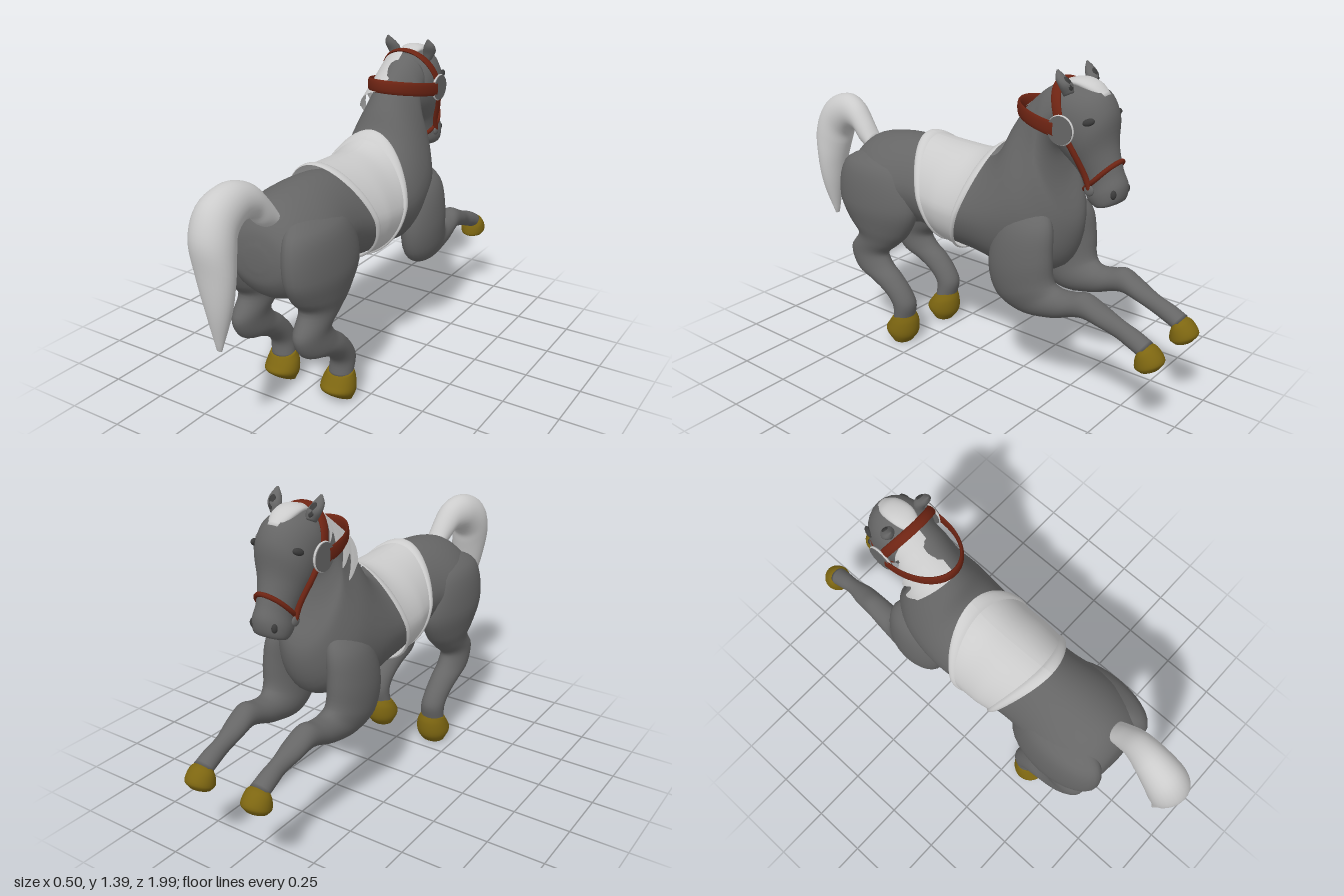
import * as THREE from 'three';

const mat = (color, side = THREE.FrontSide) => new THREE.MeshStandardMaterial({ color, side });
const coat = mat(0x666666), dark = mat(0x3c3c3c), gold = mat(0x7d6611);
const pale = mat(0xcccccc), cloth = mat(0xcccccc, THREE.DoubleSide);
const leather = mat(0x6e2413, THREE.DoubleSide);
const { lerp } = THREE.MathUtils;

function add(parent, name, geometry, material) {
  const mesh = new THREE.Mesh(geometry, material);
  mesh.name = name;
  parent.add(mesh);
  return mesh;
}

// Smooth closed skin over oval sections; egg narrows the upper half.
// Each section: [z, y of one edge, z, y of the opposite edge, half width, centre x]
function loft(sections, side = 1, around = 28, egg = 0) {
  const curve = (f) => new THREE.CatmullRomCurve3(sections.map(f));
  const edgeA = curve((s) => new THREE.Vector3(0, s[1], s[0]));
  const edgeB = curve((s) => new THREE.Vector3(0, s[3], s[2]));
  const width = curve((s, i) => new THREE.Vector3(s[4], (s[5] || 0) * side, i));
  const n = (sections.length - 1) * 5, pos = [], idx = [];
  for (let i = 0; i <= n; i++) {
    const a = edgeA.getPoint(i / n), b = edgeB.getPoint(i / n), w = width.getPoint(i / n);
    const mid = a.clone().add(b).multiplyScalar(0.5), half = a.sub(b).multiplyScalar(0.5);
    for (let j = 0; j < around; j++) {
      const t = (j / around) * Math.PI * 2, c = Math.cos(t);
      pos.push(w.y + w.x * Math.sin(t) * (1 - egg * Math.max(0, c)), mid.y + half.y * c, mid.z + half.z * c);
    }
  }
  for (let i = 0; i < n; i++) for (let j = 0; j < around; j++) {
    const k = (j + 1) % around, p = i * around, q = p + around;
    idx.push(p + j, q + j, q + k, p + j, q + k, p + k);
  }
  // End caps
  for (const [row, flip] of [[0, false], [n, true]]) {
    const base = row * around, centre = pos.length / 3, sum = [0, 0, 0];
    for (let j = 0; j < around; j++) for (let c = 0; c < 3; c++) sum[c] += pos[(base + j) * 3 + c] / around;
    pos.push(...sum);
    for (let j = 0; j < around; j++) {
      const k = (j + 1) % around;
      idx.push(centre, base + (flip ? k : j), base + (flip ? j : k));
    }
  }
  // Turn the skin outward if its signed volume is negative
  let volume = 0;
  const corner = (i) => new THREE.Vector3().fromArray(pos, i * 3);
  for (let i = 0; i < idx.length; i += 3) volume += corner(idx[i]).dot(corner(idx[i + 1]).cross(corner(idx[i + 2])));
  if (volume < 0) idx.reverse();
  return surface(pos, idx);
}

function surface(pos, idx) {
  const g = new THREE.BufferGeometry();
  g.setAttribute('position', new THREE.Float32BufferAttribute(pos, 3));
  g.setIndex(idx);
  g.computeVertexNormals();
  return g;
}

// Open sheet from a rule f(u, v) -> [x, y, z]
function sheet(f, nu, nv) {
  const pos = [], idx = [];
  for (let i = 0; i <= nu; i++) for (let j = 0; j <= nv; j++) pos.push(...f(i / nu, j / nv));
  for (let i = 0; i < nu; i++) for (let j = 0; j < nv; j++) {
    const a = i * (nv + 1) + j, b = a + nv + 1;
    idx.push(a, b, b + 1, a, b + 1, a + 1);
  }
  return surface(pos, idx);
}

function cord(points, radius, closed = false) {
  const curve = new THREE.CatmullRomCurve3(points.map((p) => new THREE.Vector3(...p)), closed);
  return new THREE.TubeGeometry(curve, 48, radius, 8, closed);
}

function ball(parent, name, material, position, scale, rotation = [0, 0, 0]) {
  const mesh = add(parent, name, new THREE.SphereGeometry(1, 20, 14), material);
  mesh.position.set(...position);
  mesh.scale.set(...scale);
  mesh.rotation.set(...rotation);
}

// Blanket wrapped round the barrel: v runs round the girth, u from back to front
function blanketPoint(u, v, lift = 0) {
  const a = v * Math.PI * 2, c = Math.cos(a), k = (1 + c) / 2;
  const z = lerp(0.12 + 0.17 * k ** 1.5, 0.03 - 0.18 * k ** 0.95, u);
  const top = 0.982 + lift + 0.058 * Math.max(0, -z / 0.15) ** 2 + 0.018 * Math.max(0, z / 0.29) ** 2;
  const bottom = 0.52 - lift + 0.18 * Math.max(0, z);
  const w = 0.232 + lift - 0.15 * Math.max(0, z - 0.08);
  return [w * Math.sin(a) * (1 - 0.15 * Math.max(0, c)), (top + bottom) / 2 + ((top - bottom) / 2) * c, z];
}

export function createModel() {
  const horse = new THREE.Group();
  horse.name = 'gallopingHorse';

  add(horse, 'bodyAndNeck', loft([
    [0.685, 0.78, 0.685, 0.69, 0.05], [0.665, 0.86, 0.67, 0.62, 0.15], [0.60, 0.93, 0.61, 0.55, 0.205],
    [0.46, 0.967, 0.46, 0.53, 0.235], [0.27, 0.972, 0.27, 0.575, 0.2], [0.1, 0.94, 0.08, 0.54, 0.205],
    [-0.06, 0.95, -0.06, 0.53, 0.215], [-0.15, 1.02, -0.25, 0.505, 0.22], [-0.20, 1.12, -0.45, 0.56, 0.2],
    [-0.25, 1.20, -0.51, 0.745, 0.155], [-0.31, 1.26, -0.43, 0.93, 0.125], [-0.36, 1.30, -0.41, 1.05, 0.11],
    [-0.43, 1.335, -0.45, 1.12, 0.1]], 1, 40, 0.15), coat);

  add(horse, 'head', loft([
    [-0.42, 1.33, -0.40, 1.25, 0.06], [-0.50, 1.342, -0.40, 1.12, 0.11], [-0.605, 1.315, -0.42, 1.07, 0.122],
    [-0.652, 1.24, -0.48, 1.02, 0.115], [-0.66, 1.12, -0.52, 0.98, 0.09], [-0.69, 1.02, -0.54, 0.93, 0.073],
    [-0.715, 0.96, -0.56, 0.88, 0.078], [-0.705, 0.90, -0.60, 0.86, 0.068], [-0.675, 0.88, -0.635, 0.865, 0.035]]), coat);

  // Legs, hooves and paired face details
  for (const side of [1, -1]) {
    const label = side > 0 ? 'left' : 'right';
    add(horse, label + 'FrontLeg', loft([
      [-0.41, 0.86, -0.31, 0.86, 0.02, 0.1], [-0.475, 0.77, -0.23, 0.75, 0.07, 0.145],
      [-0.49, 0.65, -0.19, 0.58, 0.083, 0.163], [-0.50, 0.545, -0.23, 0.44, 0.08, 0.16],
      [-0.53, 0.525, -0.34, 0.38, 0.07, 0.15], [-0.59, 0.53, -0.50, 0.395, 0.06, 0.15],
      [-0.65, 0.545, -0.64, 0.44, 0.052, 0.15], [-0.72, 0.515, -0.73, 0.425, 0.049, 0.145],
      [-0.81, 0.475, -0.80, 0.40, 0.036, 0.14], [-0.88, 0.45, -0.85, 0.38, 0.039, 0.14],
      [-0.94, 0.42, -0.90, 0.36, 0.042, 0.14]], side), coat);
    add(horse, label + 'FrontHoof', loft([
      [-0.93, 0.415, -0.892, 0.375, 0.04, 0.14], [-0.96, 0.407, -0.885, 0.345, 0.055, 0.14],
      [-0.998, 0.36, -0.885, 0.312, 0.06, 0.14], [-0.98, 0.325, -0.905, 0.305, 0.048, 0.14]], side), gold);
    add(horse, label + 'HindLeg', loft([
      [0.42, 0.91, 0.56, 0.90, 0.02, 0.1], [0.29, 0.83, 0.675, 0.83, 0.08, 0.14],
      [0.24, 0.67, 0.695, 0.67, 0.097, 0.155], [0.30, 0.54, 0.645, 0.57, 0.085, 0.152],
      [0.37, 0.47, 0.59, 0.505, 0.07, 0.15], [0.43, 0.415, 0.645, 0.41, 0.06, 0.152],
      [0.41, 0.37, 0.60, 0.32, 0.062, 0.155], [0.35, 0.32, 0.51, 0.285, 0.06, 0.158],
      [0.29, 0.25, 0.43, 0.245, 0.056, 0.157], [0.27, 0.20, 0.38, 0.19, 0.055, 0.155],
      [0.285, 0.13, 0.38, 0.12, 0.055, 0.15]], side), coat);
    add(horse, label + 'HindHoof', loft([
      [0.285, 0.15, 0.385, 0.125, 0.058, 0.15], [0.272, 0.11, 0.41, 0.09, 0.072, 0.147],
      [0.275, 0.045, 0.425, 0.065, 0.077, 0.147], [0.305, 0.003, 0.385, 0.025, 0.06, 0.147]], side), gold);

    // Pointed ear leaning back
    add(horse, label + 'Ear', loft([
      [-0.515, 1.31, -0.475, 1.29, 0.02, 0.082], [-0.51, 1.345, -0.465, 1.325, 0.03, 0.092],
      [-0.485, 1.37, -0.45, 1.36, 0.024, 0.1], [-0.455, 1.395, -0.45, 1.393, 0.005, 0.102]], side, 14), coat);
    ball(horse, label + 'EarHollow', dark, [0.094 * side, 1.345, -0.498], [0.017, 0.03, 0.01], [0.5, 0, -0.2 * side]);
    ball(horse, label + 'Eye', dark, [0.103 * side, 1.215, -0.6], [0.012, 0.014, 0.025], [0.4, 0.3 * side, 0]);
    ball(horse, label + 'Nostril', dark, [0.05 * side, 0.935, -0.69], [0.014, 0.02, 0.012]);

    // Bridle cheek strap and round cheek plate
    add(horse, label + 'CheekStrap', cord([
      [0.135 * side, 1.175, -0.5], [0.115 * side, 1.09, -0.545], [0.085 * side, 1.0, -0.58], [0.078 * side, 0.945, -0.6]], 0.012), leather);
    const plate = add(horse, label + 'CheekPlate', new THREE.CylinderGeometry(0.056, 0.056, 0.016, 32), coat);
    plate.position.set(0.14 * side, 1.175, -0.5);
    plate.rotation.z = Math.PI / 2;
    const rim = add(horse, label + 'CheekPlateRim', new THREE.TorusGeometry(0.055, 0.005, 8, 36), pale);
    rim.position.copy(plate.position);
    rim.rotation.y = Math.PI / 2;
    ball(horse, label + 'BitRing', coat, [0.08 * side, 0.94, -0.6], [0.009, 0.022, 0.022]);
  }

  // Bridle bands, each an oval section swept over a half loop
  add(horse, 'noseband', cord([
    [0, 1.055, -0.685], [0.05, 1.035, -0.665], [0.077, 0.985, -0.62], [0.055, 0.935, -0.565], [0, 0.918, -0.545],
    [-0.055, 0.935, -0.565], [-0.077, 0.985, -0.62], [-0.05, 1.035, -0.665]], 0.01, true), leather);
  add(horse, 'headStrap', sheet((u, v) => {
    const a = u * Math.PI, s = Math.sin(a), b = v * Math.PI * 2, r = 1 + 0.05 * Math.sin(b);
    return [0.137 * r * Math.cos(a), 1.175 + 0.167 * r * s ** 0.85, -0.5 + 0.075 * s + 0.022 * Math.cos(b)];
  }, 32, 12), leather);
  add(horse, 'neckStrap', sheet((u, v) => {
    const a = u * Math.PI, s = Math.sin(a), b = v * Math.PI * 2, r = 1 + 0.04 * Math.sin(b);
    return [0.145 * r * Math.cos(a), 1.175 + 0.04 * s + 0.03 * Math.cos(b), -0.47 + 0.242 * r * s ** 0.9];
  }, 36, 12), leather);

  // Saddle blanket with broad raised hems
  add(horse, 'saddleBlanket', sheet(blanketPoint, 14, 64), cloth);
  for (const [name, from, to] of [['rearHem', 0, 0.12], ['frontHem', 0.88, 1]]) {
    add(horse, name, sheet((u, v) => blanketPoint(lerp(from, to, u), v, 0.008 * Math.sin(u * Math.PI) ** 0.5), 6, 64), cloth);
  }

  // Hair
  add(horse, 'tail', loft([
    [0.60, 0.92, 0.62, 0.85, 0.045, 0.025], [0.65, 0.99, 0.68, 0.88, 0.052, 0.02], [0.72, 1.06, 0.72, 0.92, 0.06, 0.01],
    [0.81, 1.085, 0.775, 0.92, 0.073, -0.005], [0.93, 1.04, 0.82, 0.88, 0.086, -0.012], [0.993, 0.92, 0.835, 0.83, 0.09, -0.005],
    [0.985, 0.78, 0.86, 0.73, 0.08, 0.008], [0.965, 0.62, 0.88, 0.62, 0.052, 0.015], [0.925, 0.46, 0.912, 0.46, 0.012, 0.003]]), pale);
  add(horse, 'forelock', loft([
    [-0.43, 1.34, -0.43, 1.30, 0.03], [-0.5, 1.358, -0.48, 1.32, 0.05],
    [-0.57, 1.345, -0.55, 1.30, 0.048], [-0.62, 1.305, -0.6, 1.28, 0.03]]), pale);
  // Mane hugs one side of the neck, with a ragged lower edge
  add(horse, 'mane', sheet((u, v) => {
    const a = v * (1.45 + 0.25 * Math.cos(u * 22)), c = Math.cos(a);
    const top = [lerp(1.345, 1.19, u), lerp(-0.42, -0.225, u)], low = [lerp(1.1, 0.88, u), lerp(-0.45, -0.45, u)];
    return [-lerp(0.122, 0.165, u) * Math.sin(a), lerp(low[0], top[0], (1 + c) / 2), lerp(low[1], top[1], (1 + c) / 2)];
  }, 30, 12), cloth);
  return horse;
}
